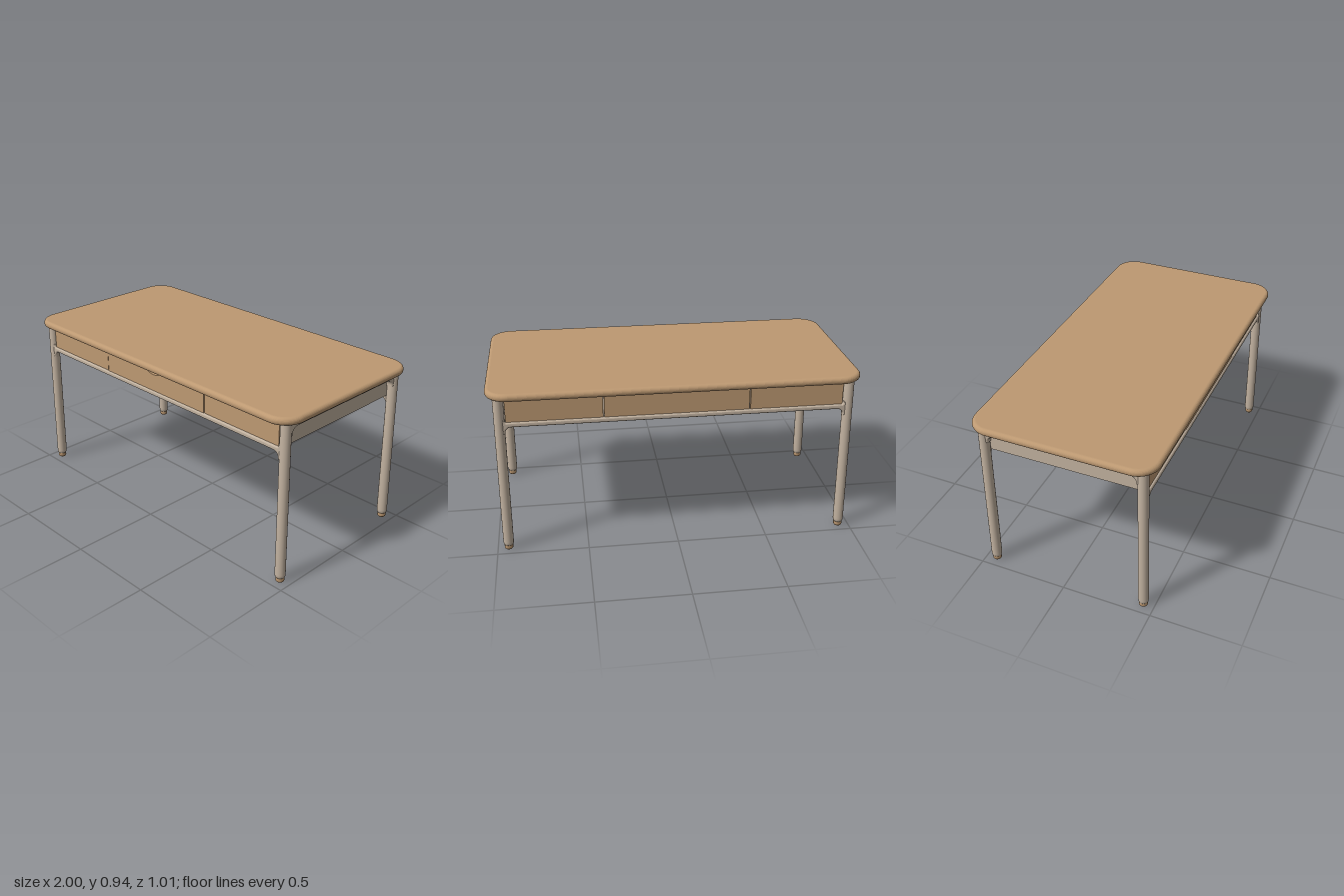
import * as THREE from 'three';

export function createModel() {
  const model = new THREE.Group();
  model.name = 'desk';
  const wood = new THREE.MeshStandardMaterial({ name: 'wood', color: 0xbd9972 });
  const frame = new THREE.MeshStandardMaterial({ name: 'beigeFrame', color: 0xc2b2a0 });

  function add(name, geometry, material, x = 0, y = 0, z = 0) {
    const mesh = new THREE.Mesh(geometry, material);
    mesh.name = name;
    mesh.position.set(x, y, z);
    model.add(mesh);
    return mesh;
  }
  // Box given by its limits
  function block(name, material, x0, x1, y0, y1, z0, z1) {
    return add(name, new THREE.BoxGeometry(x1 - x0, y1 - y0, z1 - z0), material,
      (x0 + x1) / 2, (y0 + y1) / 2, (z0 + z1) / 2);
  }

  // Tabletop: rounded rectangle with a soft bullnose edge
  const bevel = 0.02, hx = 1 - bevel, hz = 0.505 - bevel, r = 0.1;
  const top = new THREE.Shape();
  top.moveTo(-hx + r, -hz);
  top.lineTo(hx - r, -hz);
  top.absarc(hx - r, -hz + r, r, -Math.PI / 2, 0);
  top.absarc(hx - r, hz - r, r, 0, Math.PI / 2);
  top.absarc(-hx + r, hz - r, r, Math.PI / 2, Math.PI);
  top.absarc(-hx + r, -hz + r, r, Math.PI, Math.PI * 1.5);
  const topGeometry = new THREE.ExtrudeGeometry(top, {
    depth: 0.002, bevelThickness: 0.02, bevelSize: bevel, bevelSegments: 6, curveSegments: 12,
  });
  topGeometry.rotateX(-Math.PI / 2);
  add('tabletop', topGeometry, wood, 0, 0.92, 0);

  // Legs, splayed slightly outward, with wooden feet
  const up = new THREE.Vector3(0, 1, 0);
  const footProfile = [[0, 0], [0.019, 0], [0.023, 0.005], [0.024, 0.024], [0.021, 0.035]]
    .map(([x, y]) => new THREE.Vector2(x, y));
  for (const sx of [-1, 1]) for (const sz of [-1, 1]) {
    const low = new THREE.Vector3(sx * 0.94, 0.024, sz * 0.44);
    const high = new THREE.Vector3(sx * 0.933, 0.903, sz * 0.432);
    const axis = high.clone().sub(low);
    const length = axis.length();
    const profile = [[0, 0], [0.022, 0], [0.027, 0.008], [0.0285, 0.022], [0.028, length], [0, length]]
      .map(([x, y]) => new THREE.Vector2(x, y));
    const leg = add('leg', new THREE.LatheGeometry(profile, 24), frame, low.x, low.y, low.z);
    leg.quaternion.setFromUnitVectors(up, axis.normalize());
    add('foot', new THREE.LatheGeometry(footProfile, 20), wood, low.x, 0, low.z);
    const sole = add('footSole', new THREE.CircleGeometry(0.019, 20), wood, low.x, 0.0005, low.z);
    sole.rotation.x = Math.PI / 2;
  }

  // Rail that flares into the legs with concave fillets below and above
  function rail(a, y0, y1, below, above, thickness) {
    const b = 0.009;
    const s = new THREE.Shape();
    const lo = y0 + b, hi = y1 - b;
    s.moveTo(-a, lo - below);
    s.absarc(-a + below, lo - below, below, Math.PI, Math.PI / 2, true);
    s.absarc(a - below, lo - below, below, Math.PI / 2, 0, true);
    s.lineTo(a + 0.02, lo - below);
    s.lineTo(a + 0.02, hi + above);
    if (above > 0) {
      s.lineTo(a, hi + above);
      s.absarc(a - above, hi + above, above, 0, -Math.PI / 2, true);
      s.absarc(-a + above, hi + above, above, -Math.PI / 2, -Math.PI, true);
    }
    s.lineTo(-a - 0.02, hi + above);
    s.lineTo(-a - 0.02, lo - below);
    const g = new THREE.ExtrudeGeometry(s, {
      depth: thickness - 2 * b, bevelThickness: b, bevelSize: b, bevelSegments: 4, curveSegments: 10,
    });
    g.translate(0, 0, -thickness / 2 + b);
    return g;
  }
  for (const s of [-1, 1]) {
    add(s > 0 ? 'frontRail' : 'backRail', rail(0.914, 0.738, 0.765, 0.04, 0.018, 0.034), frame, 0, 0, s * 0.437);
    const side = add('sideRail', rail(0.411, 0.866, 0.902, 0.045, 0, 0.04), frame, s * 0.933, 0, 0);
    side.rotation.y = Math.PI / 2;
    block('sidePanel', frame, s * 0.908 - 0.006, s * 0.908 + 0.006, 0.759, 0.9, -0.43, 0.43);
  }

  // Beige carcass showing in the gaps between the drawers
  block('carcass', frame, -0.9, 0.9, 0.762, 0.9, -0.43, 0.42);

  // Drawers run the full depth and show at the front, back and underside
  const zd = 0.443, seam = 0.391, gap = 0.003, y0 = 0.759, y1 = 0.9;
  block('leftDrawer', wood, seam + gap, 0.901, y0, y1, -zd, zd);
  block('rightDrawer', wood, -0.901, -seam - gap, y0, y1, -zd, zd);
  block('centreDrawer', wood, -seam + gap, seam - gap, y0, y1, -zd, 0.415);

  // Centre drawer front with a scooped finger pull
  const w = seam - gap;
  const face = new THREE.Shape();
  face.moveTo(-w, y0);
  face.lineTo(w, y0);
  face.lineTo(w, y1);
  face.lineTo(0.115, y1);
  face.bezierCurveTo(0.07, y1 - 0.006, 0.05, y1 - 0.04, 0, y1 - 0.04);
  face.bezierCurveTo(-0.05, y1 - 0.04, -0.07, y1 - 0.006, -0.115, y1);
  face.lineTo(-w, y1);
  add('centreDrawerFront', new THREE.ExtrudeGeometry(face, { depth: 0.033, bevelEnabled: false, curveSegments: 14 }),
    wood, 0, 0, 0.413);
  block('fingerPullBack', frame, -0.12, 0.12, 0.85, 0.9, 0.414, 0.422);

  return model;
}
